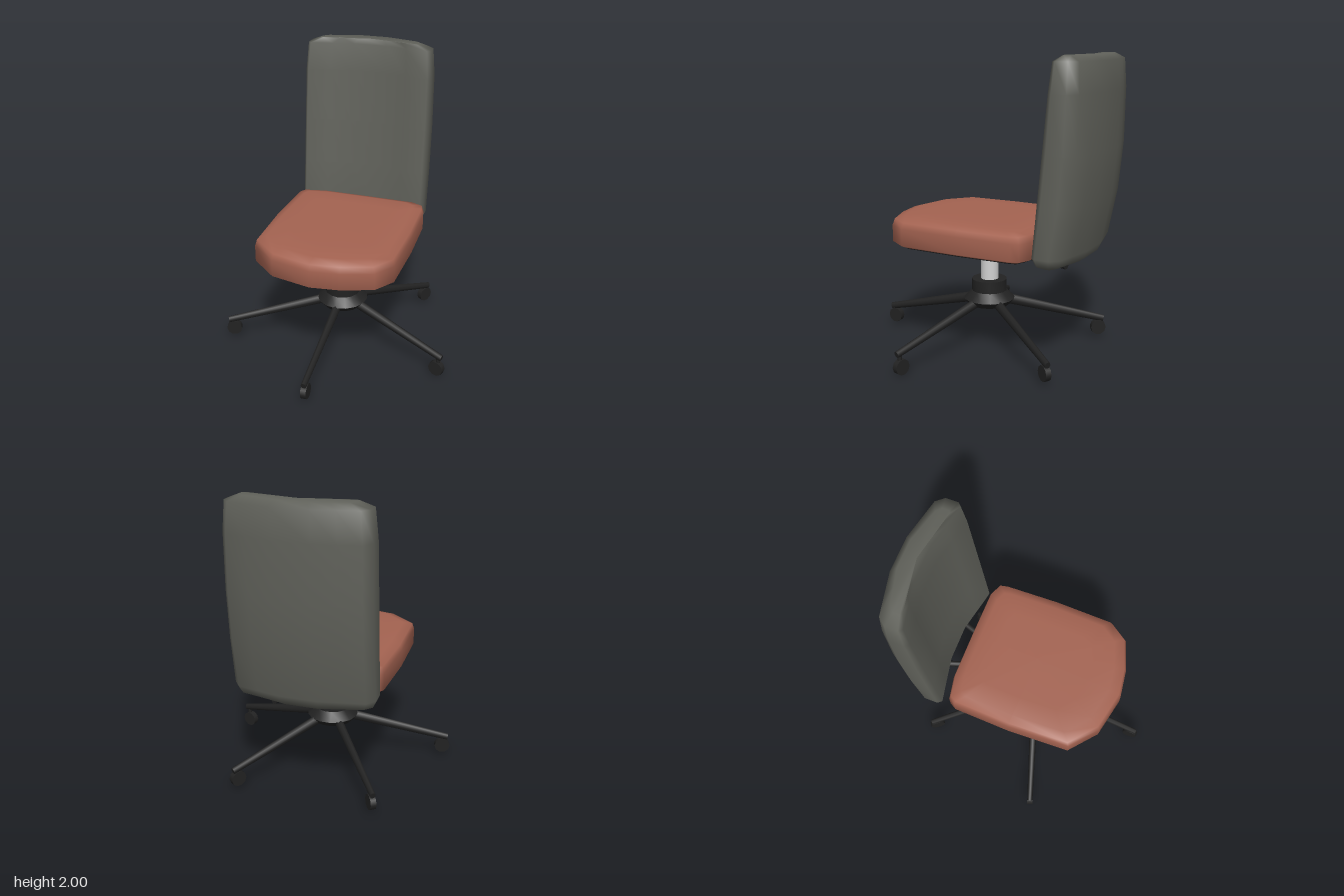
import * as THREE from 'three';
import { toCreasedNormals } from 'three/addons/utils/BufferGeometryUtils.js';

const material = (name, color) => {
  const m = new THREE.MeshStandardMaterial({ color });
  m.name = name;
  return m;
};

// Skin a stack of rings ([x, y, z] points, clockwise from above), closed at both ends.
function loft(rings) {
  const n = rings[0].length, pos = rings.flat(2), idx = [];
  const centre = (ring) => {
    const c = [0, 1, 2].map((k) => ring.reduce((s, p) => s + p[k], 0) / n);
    pos.push(...c);
    return pos.length / 3 - 1;
  };
  const last = rings.length - 1;
  const low = centre(rings[0]), high = centre(rings[last]);
  for (let j = 0; j < n; j++) {
    const k = (j + 1) % n;
    for (let i = 0; i < last; i++) {
      const a = i * n + j, b = i * n + k;
      idx.push(a, b + n, b, a, a + n, b + n);
    }
    idx.push(low, j, k, high, last * n + k, last * n + j);
  }
  const g = new THREE.BufferGeometry();
  g.setAttribute('position', new THREE.Float32BufferAttribute(pos, 3));
  g.setIndex(idx);
  g.computeVertexNormals();
  return g;
}

export function createModel() {
  const model = new THREE.Group();
  model.name = 'officeChair';
  const terracotta = material('terracotta fabric', 0xa46351);
  const grey = material('grey fabric', 0x60615a);
  const black = material('black plastic', 0x222222);
  const silver = material('silver metal', 0xd2d2d2);

  const add = (parent, name, geometry, mat, x = 0, y = 0, z = 0) => {
    const mesh = new THREE.Mesh(geometry, mat);
    mesh.name = name;
    mesh.position.set(x, y, z);
    parent.add(mesh);
    return mesh;
  };
  // Tapered round bar between two points
  const rod = (parent, name, from, to, r0, r1) => {
    const a = new THREE.Vector3(...from), b = new THREE.Vector3(...to);
    const d = b.clone().sub(a);
    const mesh = add(parent, name, new THREE.CylinderGeometry(r1, r0, d.length(), 8), black);
    mesh.position.copy(a).add(b).multiplyScalar(0.5);
    mesh.quaternion.setFromUnitVectors(new THREE.Vector3(0, 1, 0), d.normalize());
    return mesh;
  };

  // Seat cushion: one outline, inset at the lower and upper edges
  const outline = [
    [-0.47, -0.4], [-0.445, -0.445], [-0.29, -0.475], [0.04, -0.475], [0.375, -0.47], [0.455, -0.435],
    [0.467, -0.38], [0.477, 0], [0.465, 0.41], [0.375, 0.54], [0.17, 0.61], [-0.02, 0.635],
    [-0.29, 0.575], [-0.47, 0.42], [-0.485, 0],
  ];
  const seatRing = (y, s) => outline.map(([x, z]) => [x * s, y, 0.03 + (z - 0.03) * s]);
  add(model, 'seatCushion', loft([
    seatRing(0.743, 0.94), seatRing(0.758, 1), seatRing(0.87, 1),
    seatRing(0.912, 0.975), seatRing(0.932, 0.86), seatRing(0.937, 0.6),
  ]), terracotta);
  add(model, 'seatBase', toCreasedNormals(loft([seatRing(0.735, 0.92), seatRing(0.744, 0.93)]), 0.5), black);

  // Backrest: cross-sections curved around the sitter, [fraction of width, fraction of depth]
  const section = [
    [-1, 0.72], [-0.9, 1], [-0.6, 1], [-0.27, 1], [0.27, 1], [0.6, 1], [0.9, 1], [1, 0.72],
    [1, 0.18], [0.95, 0], [0.6, 0], [0.27, 0], [-0.27, 0], [-0.6, 0], [-0.95, 0], [-1, 0.18],
  ];
  const backLevels = [ // y, half width, front z, back z
    [0.705, 0.37, -0.615, -0.675], [0.733, 0.435, -0.58, -0.715], [0.785, 0.457, -0.563, -0.737],
    [1.1, 0.457, -0.592, -0.8], [1.42, 0.457, -0.622, -0.83], [1.78, 0.453, -0.653, -0.835],
    [1.965, 0.437, -0.672, -0.825], [2.0, 0.35, -0.705, -0.785],
  ];
  add(model, 'backrest', loft(backLevels.map(([y, w, front, back]) => section.map(([u, v]) => {
    const bend = 0.06 * Math.max(0, (Math.abs(u) - 0.27) / 0.65);
    return [-0.022 + u * w, y, front + (back - front) * v + bend];
  }))), grey);

  // Tilt mechanism and the two bars that carry the backrest
  add(model, 'mechanismHousing', new THREE.CylinderGeometry(0.12, 0.12, 0.085, 16), black, -0.005, 0.698, 0.01);
  add(model, 'mechanismBox', new THREE.BoxGeometry(0.23, 0.08, 0.28), black, -0.005, 0.697, -0.125);
  for (const s of [-1, 1]) {
    rod(model, 'backrestBar', [s * 0.045, 0.69, -0.24], [s * 0.175, 0.692, -0.63], 0.021, 0.021);
  }

  // Gas column
  add(model, 'column', new THREE.CylinderGeometry(0.06, 0.06, 0.22, 20), silver, -0.005, 0.56, 0.01);

  // Five-legged base
  const base = new THREE.Group();
  base.name = 'base';
  base.position.set(-0.002, 0, 0.01);
  model.add(base);
  const hubProfile = [[0, 0.29], [0.14, 0.298], [0.175, 0.34], [0.12, 0.395], [0.12, 0.475], [0, 0.475]]
    .map(([r, y]) => new THREE.Vector2(r, y));
  add(base, 'hub', toCreasedNormals(new THREE.LatheGeometry(hubProfile, 15), 0.5), black);

  for (let i = 0; i < 5; i++) {
    const leg = new THREE.Group();
    leg.name = 'legWithCaster';
    leg.rotation.y = (i * Math.PI * 2) / 5;
    base.add(leg);
    const beam = rod(leg, 'leg', [0, 0.325, 0.12], [0, 0.143, 0.81], 0.036, 0.024);
    beam.scale.x = 0.8;
    // The caster of the left leg sits slightly lower
    const y = i === 1 ? 0.055 : 0.082;
    const wheel = add(leg, 'casterWheel', new THREE.CylinderGeometry(0.053, 0.053, 0.038, 10), black, 0, y, 0.775);
    wheel.rotation.z = Math.PI / 2;
    add(leg, 'casterStem', new THREE.CylinderGeometry(0.014, 0.014, 0.08, 8), black, 0, 0.115, 0.785);
  }
  return model;
}
